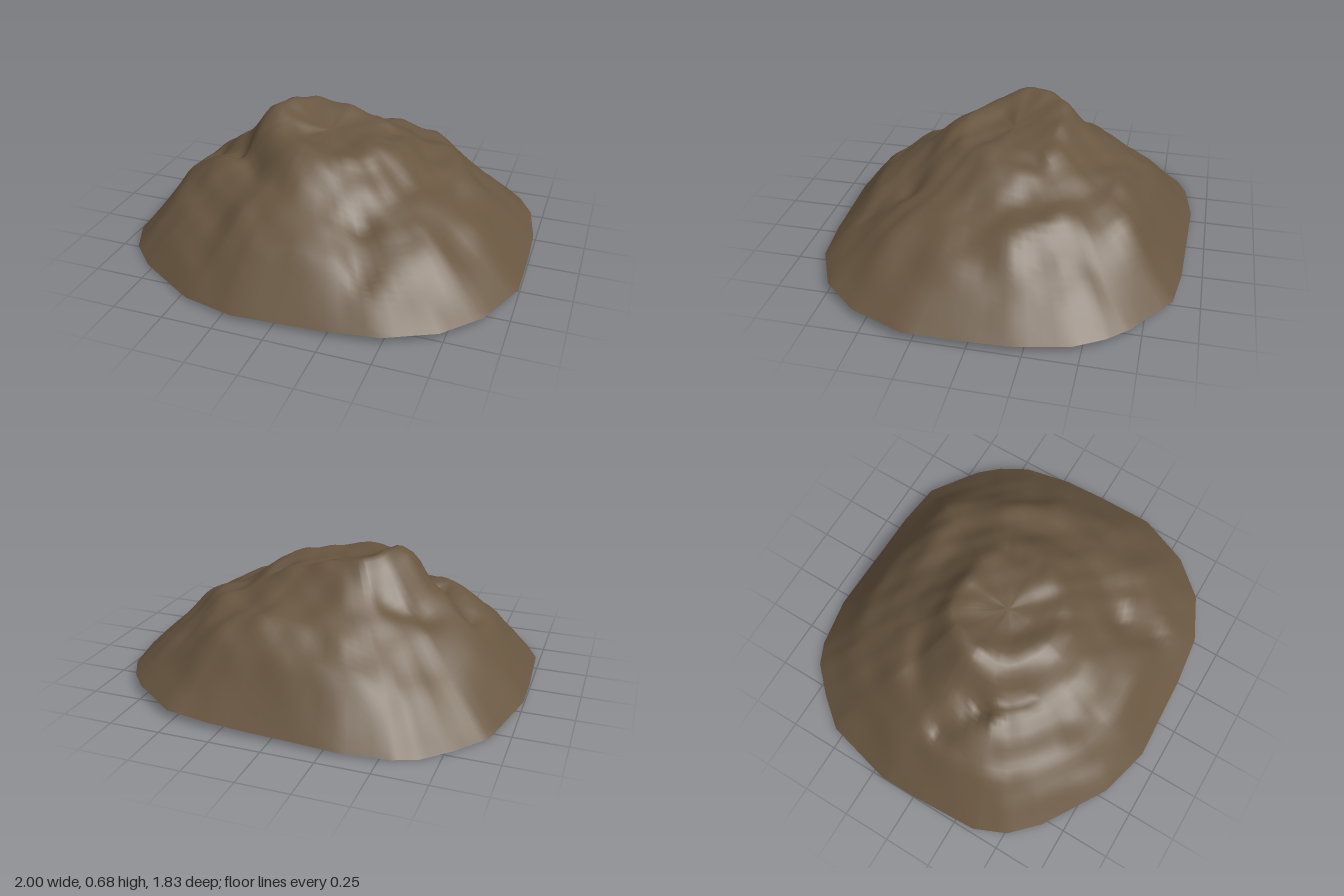
import * as THREE from 'three';

// Ground outline as x, z pairs, from +x round through +z
const outline = [
  [1, 0], [1, 0.3], [0.89, 0.57], [0.73, 0.75], [0.5, 0.86], [0.25, 0.89], [-0.2, 0.91],
  [-0.46, 0.84], [-0.78, 0.64], [-0.91, 0.51], [-0.98, 0.35], [-1, 0], [-1, -0.19],
  [-0.91, -0.55], [-0.79, -0.7], [-0.66, -0.83], [-0.55, -0.88], [-0.3, -0.92], [0, -0.91],
  [0.3, -0.9], [0.53, -0.87], [0.77, -0.7], [0.86, -0.6], [0.94, -0.46], [0.99, -0.22],
];
const centre = [-0.04, 0];
// Heights at these fractions of the radius, in eight directions from +x round through +z
const steps = [0, 0.14, 0.28, 0.36, 0.48, 0.62, 0.78, 0.9, 1];
const profiles = [
  [0.58, 0.57, 0.585, 0.52, 0.42, 0.365, 0.255, 0.14, 0.04],
  [0.58, 0.55, 0.55, 0.48, 0.395, 0.33, 0.215, 0.12, 0.04],
  [0.58, 0.56, 0.59, 0.56, 0.445, 0.375, 0.27, 0.135, 0.025],
  [0.58, 0.57, 0.59, 0.53, 0.43, 0.35, 0.225, 0.115, 0.005],
  [0.58, 0.61, 0.67, 0.64, 0.495, 0.405, 0.29, 0.145, 0.025],
  [0.58, 0.62, 0.67, 0.57, 0.45, 0.345, 0.205, 0.09, 0.0],
  [0.58, 0.6, 0.62, 0.55, 0.465, 0.41, 0.3, 0.145, 0.025],
  [0.58, 0.58, 0.58, 0.515, 0.445, 0.375, 0.24, 0.13, 0.045],
];
// Gullies and knolls: x, z of both ends, half width, height change
const folds = [
  [-0.68, 0.0, -0.5, 0.1, 0.06, -0.06],
  [-0.48, 0.13, -0.34, 0.28, 0.06, -0.055],
  [-0.76, 0.14, -0.6, 0.22, 0.08, 0.03],
  [-0.4, 0.5, -0.46, 0.7, 0.07, -0.03],
  [0.28, 0.48, 0.36, 0.66, 0.08, -0.06],
  [0.55, 0.4, 0.72, 0.52, 0.08, 0.025],
  [0.2, -0.6, 0.46, -0.64, 0.13, 0.05],
  [0.5, -0.3, 0.66, -0.12, 0.08, 0.03],
  [0.24, -0.16, 0.25, 0.0, 0.05, -0.035],
  [-0.5, -0.25, -0.35, -0.32, 0.06, -0.03],
];

function profileAt(p, t) {
  let i = 0;
  while (i < steps.length - 2 && t > steps[i + 1]) i++;
  return THREE.MathUtils.lerp(p[i], p[i + 1], (t - steps[i]) / (steps[i + 1] - steps[i]));
}

function foldAt(x, z) {
  let sum = 0;
  for (const [ax, az, bx, bz, width, height] of folds) {
    const dx = bx - ax, dz = bz - az;
    const s = THREE.MathUtils.clamp(((x - ax) * dx + (z - az) * dz) / (dx * dx + dz * dz), 0, 1);
    const d = Math.hypot(x - ax - s * dx, z - az - s * dz) / width;
    sum += height * Math.exp(-d * d);
  }
  return sum;
}

function heightAt(x, z, t) {
  const turn = ((Math.atan2(z - centre[1], x - centre[0]) / (Math.PI * 2) + 1) % 1) * 8;
  const a = Math.floor(turn) % 8, f = turn - Math.floor(turn);
  const base = THREE.MathUtils.lerp(profileAt(profiles[a], t), profileAt(profiles[(a + 1) % 8], t), f * f * (3 - 2 * f));
  // Broken rock is roughest on the upper flanks and fades out at the foot
  const rough = 0.011 * Math.sin(13 * x + 5 * z) * Math.sin(15 * z - 6 * x + 1) + 0.006 * Math.sin(31 * x - 9 * z) * Math.sin(27 * z + 2);
  const fade = Math.min(1, t * 5) * Math.min(1, (1 - t) * 4);
  return base + (rough + foldAt(x, z)) * fade;
}

export function createModel() {
  const rock = new THREE.MeshStandardMaterial({ color: 0x685640, side: THREE.DoubleSide });
  rock.name = 'brown rock';

  // Open shell of rings spreading from the summit to the outline
  const split = 4, rings = 34, columns = outline.length * split;
  const positions = [centre[0], heightAt(centre[0], centre[1], 0), centre[1]], index = [];
  for (let r = 1; r <= rings; r++) {
    const t = r / rings;
    for (let c = 0; c < columns; c++) {
      const k = Math.floor(c / split), a = outline[k], b = outline[(k + 1) % outline.length];
      const f = (c % split) / split;
      const x = THREE.MathUtils.lerp(centre[0], THREE.MathUtils.lerp(a[0], b[0], f), t);
      const z = THREE.MathUtils.lerp(centre[1], THREE.MathUtils.lerp(a[1], b[1], f), t);
      positions.push(x, heightAt(x, z, t), z);
    }
  }
  const at = (r, c) => 1 + (r - 1) * columns + (c % columns);
  for (let c = 0; c < columns; c++) {
    index.push(0, at(1, c + 1), at(1, c));
    for (let r = 1; r < rings; r++) {
      index.push(at(r, c), at(r, c + 1), at(r + 1, c));
      index.push(at(r, c + 1), at(r + 1, c + 1), at(r + 1, c));
    }
  }
  const geometry = new THREE.BufferGeometry();
  geometry.setAttribute('position', new THREE.Float32BufferAttribute(positions, 3));
  geometry.setIndex(index);
  geometry.computeVertexNormals();

  const mound = new THREE.Mesh(geometry, rock);
  mound.name = 'rockMound';
  const group = new THREE.Group();
  group.name = 'rockyHill';
  group.add(mound);
  return group;
}
